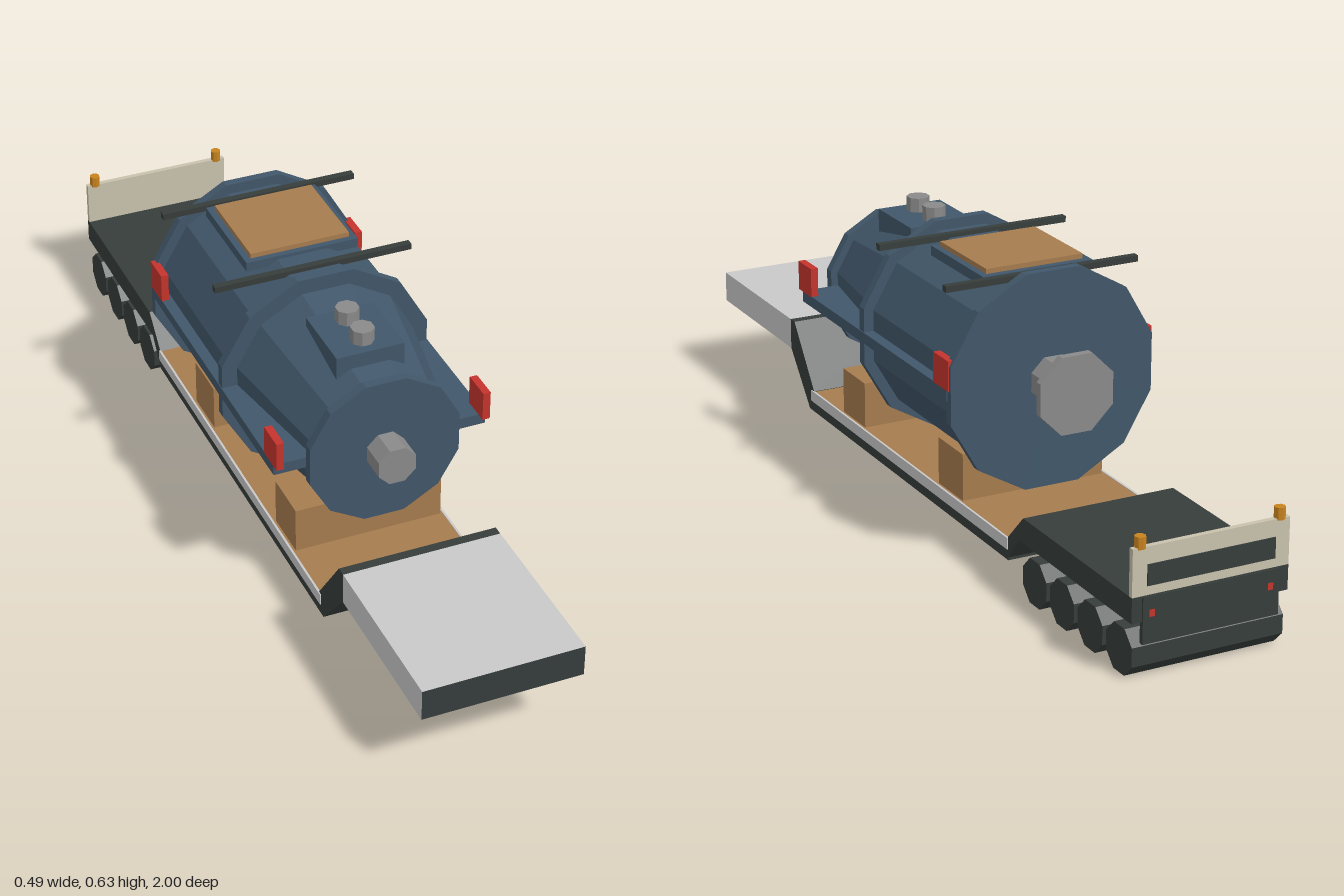
import * as THREE from 'three';

export function createModel() {
  const root = new THREE.Group();
  root.name = 'lowLoaderWithVessel';
  const mat = (name, color) => {
    const m = new THREE.MeshStandardMaterial({ color, flatShading: true });
    m.name = name;
    return m;
  };
  const steel = mat('vesselBlue', 0x41576a);
  const dark = mat('chassisDark', 0x363d3b);
  const light = mat('lightGrey', 0xc9c9c9);
  const wood = mat('timber', 0xa67c4e);
  const grey = mat('pipeGrey', 0x8a8a8a);
  const red = mat('markerRed', 0xc4342c);
  const amber = mat('beaconAmber', 0xc8841e);
  const cream = mat('boardCream', 0xc8c1ac);

  const add = (name, geo, material, parent = root) => {
    const mesh = new THREE.Mesh(geo, material);
    mesh.name = name;
    parent.add(mesh);
    return mesh;
  };
  // box given by its limits on each axis
  const box = (name, [x0, x1], [y0, y1], [z0, z1], material, parent) => {
    const g = new THREE.BoxGeometry(x1 - x0, y1 - y0, z1 - z0);
    g.translate((x0 + x1) / 2, (y0 + y1) / 2, (z0 + z1) / 2);
    return add(name, g, material, parent);
  };
  // flat-topped prism along z, sized by its half height at front and back
  const AXIS = 0.387;
  const drum = (name, front, back, z0, z1, sides, material, parent) => {
    const k = 1 / Math.cos(Math.PI / sides);
    const g = new THREE.CylinderGeometry(front * k, back * k, z1 - z0, sides, 1, false, Math.PI / sides);
    g.rotateX(Math.PI / 2);
    g.translate(0, AXIS, (z0 + z1) / 2);
    return add(name, g, material, parent);
  };
  // side profile of [z, y] points, extruded across the width
  const profile = (name, pts, width, material, parent) => {
    const shape = new THREE.Shape(pts.map(([z, y]) => new THREE.Vector2(z, y)));
    const g = new THREE.ExtrudeGeometry(shape, { depth: width, bevelEnabled: false });
    g.rotateY(-Math.PI / 2);
    g.translate(width / 2, 0, 0);
    return add(name, g, material, parent);
  };

  // ---- trailer ----
  const trailer = new THREE.Group();
  trailer.name = 'trailer';
  root.add(trailer);
  const W = 0.178, across = [-W, W];

  // gooseneck: light top and sides, dark ends and underside
  box('gooseneckDeck', across, [0.18, 0.252], [0.607, 1],
    [light, light, light, dark, dark, dark], trailer);
  box('couplingPlate', [-0.127, 0.127], [0.171, 0.18], [0.835, 0.945], dark, trailer);
  profile('gooseneckRamp', [[0.607, 0.252], [0.585, 0.252], [0.48, 0.112], [0.48, 0.062],
    [0.505, 0.062], [0.607, 0.18]], 2 * W, dark, trailer);

  // well deck with timber floor and light side rails
  box('wellFrame', across, [0.062, 0.105], [-0.49, 0.49], dark, trailer);
  box('timberFloor', [-0.176, 0.176], [0.105, 0.111], [-0.5, 0.49], wood, trailer);
  for (const s of [-1, 1]) {
    const x = [s * 0.178 - 0.0025, s * 0.178 + 0.0025];
    box('sideRail', x, [0.086, 0.112], [-0.488, 0.492], light, trailer);
  }

  // raised rear deck over the axles
  profile('rearDeck', [[-0.485, 0.062], [-0.485, 0.111], [-0.553, 0.18], [-0.995, 0.18],
    [-0.995, 0.125], [-0.535, 0.125]], 2 * W, dark, trailer);
  for (let i = 0; i < 4; i++) {
    const g = new THREE.CylinderGeometry(0.054, 0.054, 0.346, 8, 1, false, Math.PI / 8);
    g.rotateZ(Math.PI / 2);
    g.translate(0, 0.05, -0.595 - i * 0.115);
    add('wheelRow', g, dark, trailer);
  }

  // rear beam, warning board, lamps and beacons
  box('rearBeam', [-0.155, 0.155], [0.078, 0.178], [-0.999, -0.988], dark, trailer);
  box('warningBoard', across, [0.18, 0.282], [-0.995, -0.983], cream, trailer);
  box('boardSlot', [-0.145, 0.145], [0.2, 0.245], [-0.998, -0.994], dark, trailer);
  for (const s of [-1, 1]) {
    box('tailLamp', [s * 0.135 - 0.006, s * 0.135 + 0.006], [0.135, 0.15], [-1, -0.996], red, trailer);
    const g = new THREE.CylinderGeometry(0.012, 0.012, 0.026, 8);
    g.translate(s * 0.158, 0.292, -0.988);
    add('beacon', g, amber, trailer);
  }

  // ---- load ----
  const load = new THREE.Group();
  load.name = 'vessel';
  root.add(load);

  for (const z of [0.275, -0.21]) {
    box('cradleBlock', [-0.17, 0.17], [0.11, 0.217], [z - 0.057, z + 0.057], wood, load);
  }

  // shell, cone and flanges
  drum('mainShell', 0.217, 0.217, -0.34, 0.08, 12, steel, load);
  drum('coneShell', 0.152, 0.207, 0.08, 0.4, 12, steel, load);
  drum('rearFlange', 0.24, 0.24, -0.35, -0.33, 12, steel, load);
  drum('middleFlange', 0.24, 0.24, 0.068, 0.09, 12, steel, load);
  drum('frontFlange', 0.17, 0.17, 0.39, 0.412, 12, steel, load);
  box('sideRib', [-0.242, 0.242], [0.373, 0.398], [-0.335, 0.388], steel, load);

  // end pipes
  drum('frontPipe', 0.042, 0.042, 0.41, 0.475, 8, grey, load);
  drum('rearPipe', 0.051, 0.051, -0.44, -0.345, 8, grey, load);
  drum('rearPipeFlange', 0.086, 0.086, -0.455, -0.437, 8, grey, load);

  // saddle with two stub pipes on top of the cone
  profile('topSaddle', [[0.165, 0.5], [0.33, 0.5], [0.33, 0.585], [0.165, 0.585]], 0.154, steel, load);
  for (const z of [0.205, 0.285]) {
    const g = new THREE.CylinderGeometry(0.026, 0.026, 0.035, 8, 1, false, Math.PI / 8);
    g.translate(0, 0.6, z);
    add('stubPipe', g, grey, load);
  }

  // covered hatch and cross bars
  box('hatchFrame', [-0.13, 0.13], [0.59, 0.612], [-0.283, -0.04], steel, load);
  box('hatchCover', [-0.115, 0.115], [0.61, 0.623], [-0.268, -0.054], wood, load);
  for (const z of [-0.298, 0.018]) {
    box('crossBar', [-0.228, 0.228], [0.599, 0.613], [z - 0.008, z + 0.008], dark, load);
  }

  // red width markers
  for (const s of [-1, 1]) for (const z of [0.373, -0.309]) {
    const x = [s * 0.2345 - 0.0085, s * 0.2345 + 0.0085];
    box('widthMarker', x, [0.397, 0.464], [z - 0.034, z + 0.034], red, load);
  }

  return root;
}
